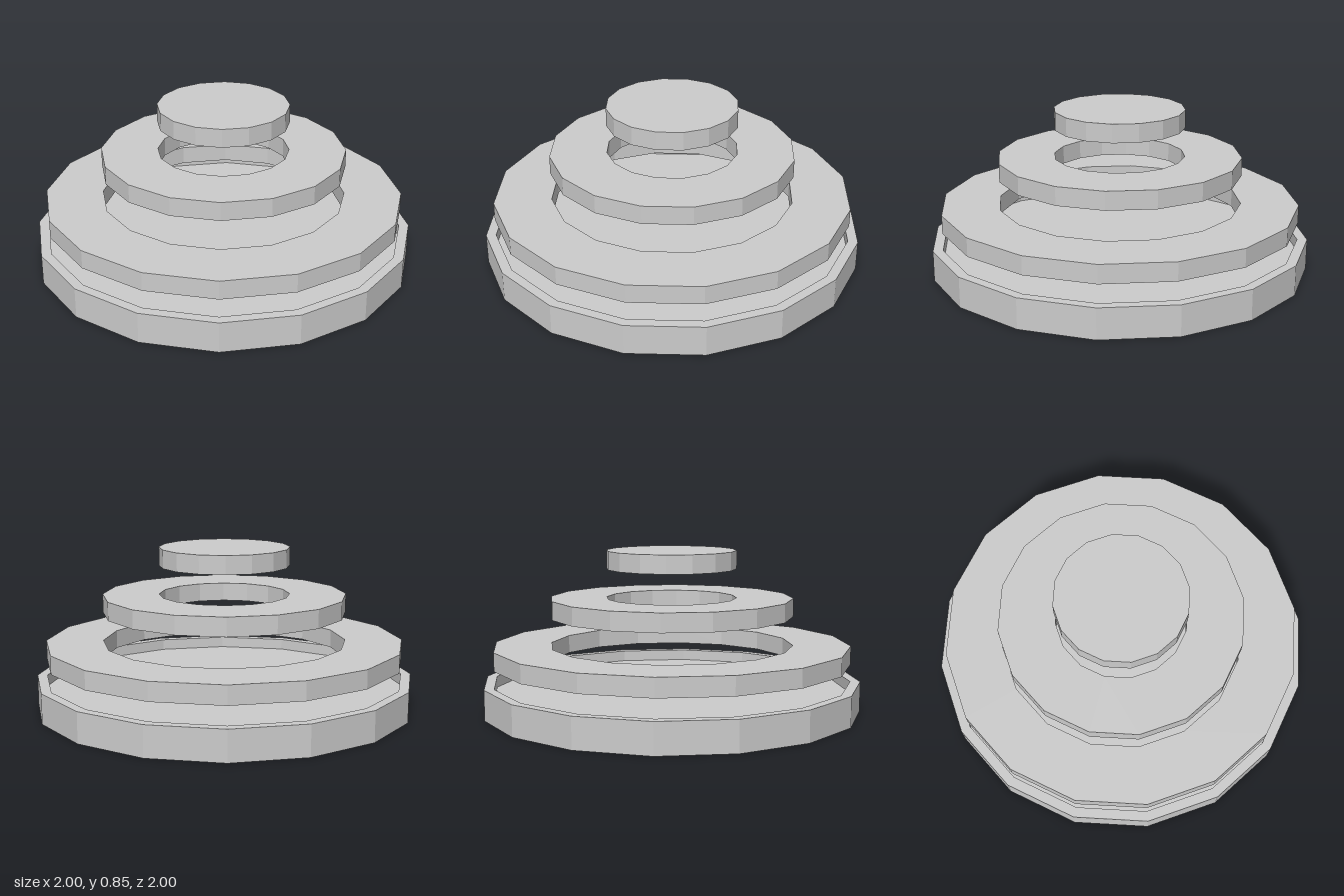
import * as THREE from 'three';

const SIDES = 16;
const material = new THREE.MeshStandardMaterial({ color: 0xcccccc, flatShading: true });

// Turns a closed [radius, height] profile into a faceted round part
function turned(name, profile) {
  const points = profile.map(([r, y]) => new THREE.Vector2(r, y));
  const mesh = new THREE.Mesh(new THREE.LatheGeometry(points, SIDES), material);
  mesh.name = name;
  return mesh;
}

// Flat ring with a rectangular section
function ring(name, inner, outer, bottom, top) {
  return turned(name, [
    [inner, bottom], [outer, bottom], [outer, top], [inner, top], [inner, bottom],
  ]);
}

export function createModel() {
  const model = new THREE.Group();
  model.name = 'steppedDiscs';

  // Base tray: solid underside with a shallow recess inside a thin rim
  model.add(turned('baseTray', [
    [0, 0], [1, 0], [1, 0.16], [0.947, 0.16], [0.947, 0.1], [0, 0.1],
  ]));

  // Two floating rings, each opening sized for the next part up
  model.add(ring('lowerRing', 0.643, 0.947, 0.253, 0.35));
  model.add(ring('middleRing', 0.344, 0.643, 0.503, 0.6));

  // Solid disc on top
  model.add(turned('topDisc', [
    [0, 0.753], [0.344, 0.753], [0.344, 0.85], [0, 0.85],
  ]));

  return model;
}
